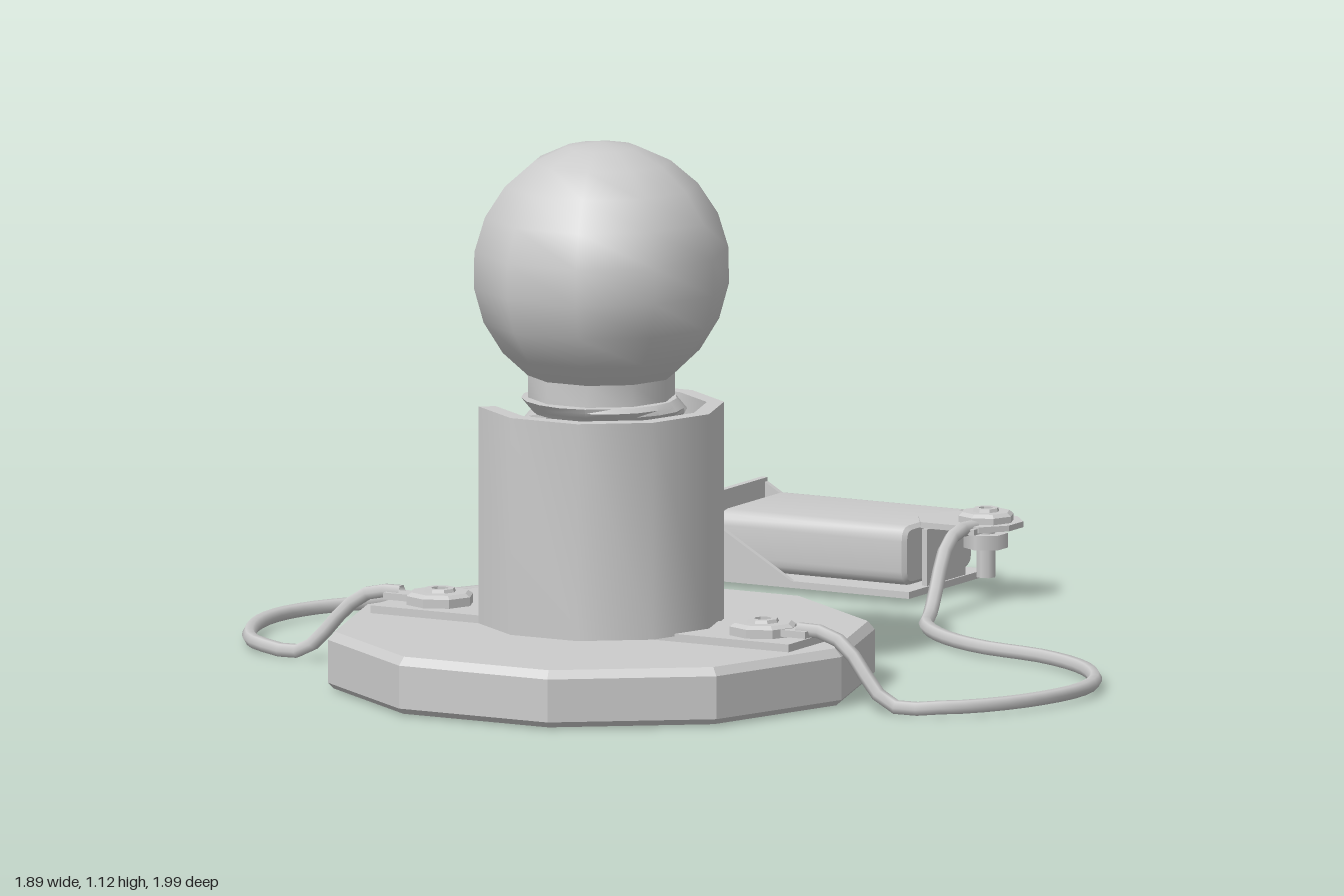
import * as THREE from 'three';
import { toCreasedNormals } from 'three/addons/utils/BufferGeometryUtils.js';

const CZ = 0.465;   // centre of the lamp in z
const BZ = -0.835;  // centre of the battery holder in z
const smooth = new THREE.MeshStandardMaterial({ color: 0xcccccc });
const thin = new THREE.MeshStandardMaterial({ color: 0xcccccc, side: THREE.DoubleSide });

function add(parent, name, geo, x = 0, y = 0, z = 0, mat = smooth) {
  const m = new THREE.Mesh(geo, mat);
  m.name = name;
  m.position.set(x, y, z);
  parent.add(m);
  return m;
}
const box = (w, h, d) => new THREE.BoxGeometry(w, h, d);
const v2 = (list) => list.map(([x, y]) => new THREE.Vector2(x, y));

// Ten-sided turned part with a corner on +x
const turned = (pts, crease, sides = 10) =>
  toCreasedNormals(new THREE.LatheGeometry(v2(pts), sides, Math.PI / 2), crease);

// Plate drawn in plan (x, z) and given a thickness upwards
function plate(pts, h, crease = 0.3) {
  const s = new THREE.Shape(v2(pts.map(([x, z]) => [x, -z])));
  const g = new THREE.ExtrudeGeometry(s, { depth: h, bevelEnabled: false });
  g.rotateX(-Math.PI / 2);
  return toCreasedNormals(g, crease);
}

// Screw head with a raised ring and a hexagonal recess
function screw(parent, x, y, z, r, bolt) {
  const g = new THREE.Group();
  g.name = 'terminalScrew';
  g.position.set(x, y, z);
  add(g, 'screwHead', turned([[0, 0], [r, 0], [r, 0.018], [r * 0.85, 0.025], [r * 0.48, 0.025],
    [r * 0.44, 0.032], [r * 0.26, 0.032], [r * 0.26, 0.012], [0, 0.012]], 0.3, 8));
  if (bolt) {
    add(g, 'boltShank', new THREE.CylinderGeometry(0.02, 0.02, 0.11, 8), 0, -0.055, 0);
    add(g, 'nut', new THREE.CylinderGeometry(0.045, 0.045, 0.03, 6), 0, -0.035, 0);
  }
  parent.add(g);
}

// Square-ish wire through a list of points
function wire(parent, pts) {
  const curve = new THREE.CatmullRomCurve3(pts.map((p) => new THREE.Vector3(...p)), false, 'centripetal');
  add(parent, 'wire', new THREE.TubeGeometry(curve, 44, 0.015, 6), 0, 0, 0, thin);
}

function makeLamp() {
  const lamp = new THREE.Group();
  lamp.name = 'lamp';
  lamp.position.z = CZ;

  add(lamp, 'base', turned([[0, 0], [0.545, 0], [0.557, 0.012], [0.557, 0.1], [0.543, 0.117], [0, 0.117]], 0.2));
  add(lamp, 'contactStrip', box(0.97, 0.018, 0.18), 0, 0.124, 0);

  // Socket wall, open on the -x side
  const ring = [];
  for (let i = -4; i <= 4; i++) ring.push([0.25 * Math.cos(i * Math.PI / 5), 0.25 * Math.sin(i * Math.PI / 5)]);
  for (let i = 4; i >= -4; i--) ring.push([0.215 * Math.cos(i * Math.PI / 5), 0.215 * Math.sin(i * Math.PI / 5)]);
  // Corner order mirrored in z to suit the plan drawing
  add(lamp, 'socket', plate(ring.reverse(), 0.445, 0.7), 0, 0.128, 0);

  // Glass globe and neck
  const glass = [[0.13, 0.575], [0.15, 0.58], [0.15, 0.635]];
  for (let i = 1; i <= 9; i++) {
    const a = -0.98 + (i / 9) * (Math.PI / 2 + 0.98);
    glass.push([Math.max(0, 0.262 * Math.cos(a)), 0.85 + 0.262 * Math.sin(a)]);
  }
  add(lamp, 'bulbGlass', turned(glass, 0.75));

  // Screw thread: radius rises and falls along a helix
  const thread = new THREE.CylinderGeometry(0.15, 0.15, 0.38, 20, 40);
  const p = thread.attributes.position;
  for (let i = 0; i < p.count; i++) {
    const x = p.getX(i), z = p.getZ(i), r = Math.hypot(x, z);
    if (r < 0.01) continue;
    const t = p.getY(i) / 0.085 - Math.atan2(z, x) / (2 * Math.PI);
    const k = (0.14 + 0.07 * Math.abs(t - Math.floor(t) - 0.5)) / r;
    p.setX(i, x * k);
    p.setZ(i, z * k);
  }
  add(lamp, 'bulbThread', toCreasedNormals(thread, 0.5), 0, 0.4, 0);
  add(lamp, 'bulbContact', new THREE.CylinderGeometry(0.13, 0.06, 0.09, 10), 0, 0.172, 0);

  for (const s of [-1, 1]) {
    screw(lamp, s * 0.375, 0.133, 0, 0.07, false);
    add(lamp, 'wireLug', box(0.07, 0.014, 0.05), s * 0.455, 0.143, 0.005);
  }
  return lamp;
}

function makeBatteryHolder() {
  const h = new THREE.Group();
  h.name = 'batteryHolder';
  h.position.z = BZ;
  add(h, 'holderFloor', box(0.525, 0.014, 0.325), -0.188, 0.018, 0);
  add(h, 'holderEndWall', box(0.014, 0.16, 0.325), -0.443, 0.091, 0);

  // Triangular side walls
  const tri = new THREE.Shape(v2([[-0.45, 0.011], [-0.19, 0.02], [-0.45, 0.171]]));
  for (const z of [-0.1625, 0.1505])
    add(h, 'holderSideWall', new THREE.ExtrudeGeometry(tri, { depth: 0.012, bevelEnabled: false }), 0, 0, z);

  // Battery with rounded long edges, lying along x
  const w = 0.14, b = 0.03, t = 0.152, r = 0.03;
  const s = new THREE.Shape();
  s.moveTo(-w + r, b).lineTo(w - r, b).quadraticCurveTo(w, b, w, b + r).lineTo(w, t - r)
    .quadraticCurveTo(w, t, w - r, t).lineTo(-w + r, t).quadraticCurveTo(-w, t, -w, t - r)
    .lineTo(-w, b + r).quadraticCurveTo(-w, b, -w + r, b);
  const bat = new THREE.ExtrudeGeometry(s, { depth: 0.42, curveSegments: 4, bevelSize: 0.008,
    bevelThickness: 0.008, bevelOffset: -0.008, bevelSegments: 1 });
  bat.rotateY(Math.PI / 2);
  add(h, 'battery', toCreasedNormals(bat, 0.6), -0.375, 0, 0);
  for (const z of [-0.068, 0.068]) {
    const stud = new THREE.CylinderGeometry(0.036, 0.028, 0.035, 8);
    stud.rotateZ(Math.PI / 2);
    add(h, 'batteryStud', stud, -0.4, 0.095, z);
  }

  // Left-hand ear tapering from the end wall to its screw
  add(h, 'wideEar', plate([[-0.45, 0.15], [-0.49, 0.15], [-0.58, 0.065], [-0.613, 0.025], [-0.613, -0.025],
    [-0.57, -0.07], [-0.49, -0.14], [-0.45, -0.14]], 0.012), 0, 0.126, 0);
  // Opposite ear on a low clip wall
  add(h, 'clipWall', box(0.012, 0.13, 0.16), 0.064, 0.076, 0);
  add(h, 'narrowEar', plate([[0.02, 0.025], [0.055, 0.08], [0.19, 0.08], [0.232, 0.03], [0.232, -0.03],
    [0.19, -0.08], [0.055, -0.08], [0.02, -0.025]], 0.012), 0, 0.143, 0);

  screw(h, -0.548, 0.138, 0, 0.06, true);
  screw(h, 0.162, 0.15, 0, 0.058, true);
  for (const x of [-0.545, 0.165]) add(h, 'wireLug', box(0.045, 0.012, 0.06), x, 0.146, 0.065);
  return h;
}

export function createModel() {
  const model = new THREE.Group();
  model.name = 'bulbCircuit';
  model.add(makeLamp(), makeBatteryHolder());

  const g = 0.016;
  wire(model, [[0.46, 0.15, 0.47], [0.53, 0.145, 0.468], [0.58, 0.115, 0.473], [0.68, g, 0.485], [0.79, g, 0.465],
    [0.88, g, 0.35], [0.928, g, 0.17], [0.905, g, 0.04], [0.81, g, -0.09], [0.67, g, -0.175], [0.5, g, -0.215],
    [0.38, g, -0.28], [0.28, g, -0.38], [0.22, g, -0.5], [0.195, 0.035, -0.56], [0.172, 0.125, -0.65],
    [0.165, 0.15, -0.71], [0.165, 0.15, -0.78]]);
  wire(model, [[-0.46, 0.15, 0.47], [-0.53, 0.145, 0.468], [-0.58, 0.115, 0.473], [-0.68, g, 0.485],
    [-0.8, g, 0.46], [-0.89, g, 0.33], [-0.932, g, 0.17], [-0.91, g, 0.04], [-0.82, g, -0.11], [-0.72, g, -0.28],
    [-0.65, g, -0.44], [-0.61, g, -0.51], [-0.585, 0.035, -0.56], [-0.55, 0.125, -0.65],
    [-0.545, 0.15, -0.71], [-0.545, 0.15, -0.78]]);
  return model;
}
